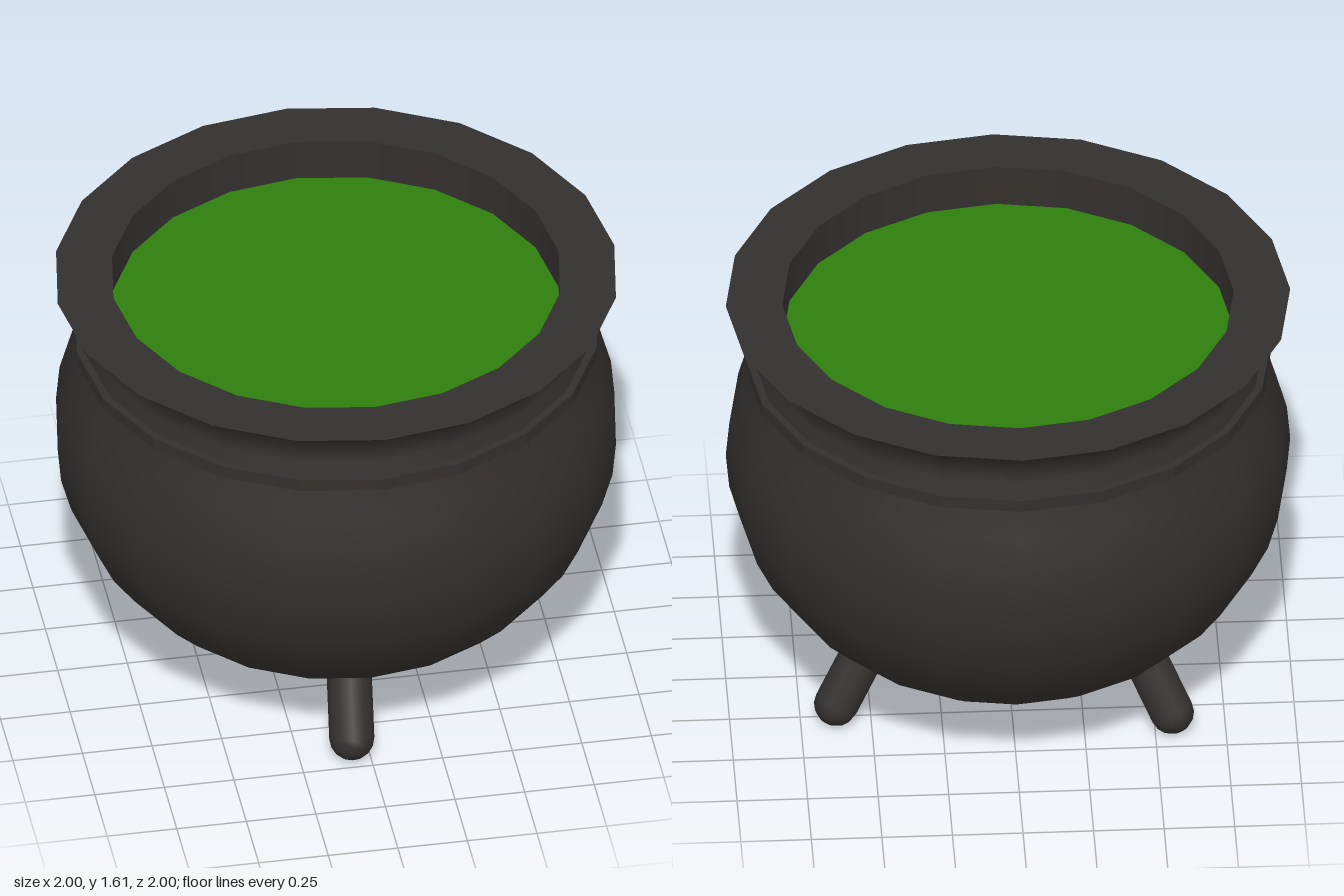
import * as THREE from 'three';

const SIDES = 20;
const iron = new THREE.MeshStandardMaterial({ color: 0x33302e });
const ironFlat = new THREE.MeshStandardMaterial({ color: 0x33302e, flatShading: true });
const green = new THREE.MeshStandardMaterial({ color: 0x2f7f0c });

function add(parent, name, geometry, material) {
  const mesh = new THREE.Mesh(geometry, material);
  mesh.name = name;
  parent.add(mesh);
  return mesh;
}

function lathe(points) {
  return new THREE.LatheGeometry(points.map(([r, y]) => new THREE.Vector2(r, y)), SIDES);
}

export function createModel() {
  const group = new THREE.Group();
  group.name = 'cauldron';

  // Round belly in 9 degree steps, running up into the neck and flared lip
  const profile = [];
  for (let i = -10; i <= 2; i++) {
    const a = (i * 9 * Math.PI) / 180;
    profile.push([i === -10 ? 0 : Math.cos(a), 0.97 + 0.87 * Math.sin(a)]);
  }
  profile.push([0.89, 1.445], [0.89, 1.525], [1, 1.615]);
  add(group, 'bowl', lathe(profile), iron);

  // Flat rim and the wall inside the mouth
  add(group, 'rim', lathe([[1, 1.615], [0.8, 1.615]]), ironFlat);
  add(group, 'innerWall', lathe([[0.8, 1.615], [0.8, 1.44]]), iron);

  // Raised band below the neck
  add(group, 'band', lathe([[0.88, 1.345], [0.932, 1.345], [0.932, 1.392], [0.88, 1.392]]), ironFlat);

  // Liquid surface
  const liquid = add(group, 'liquid', new THREE.CircleGeometry(0.8, SIDES), green);
  liquid.rotation.x = -Math.PI / 2;
  liquid.position.y = 1.455;

  // Three splayed, round-ended legs
  const radius = 0.08, length = 0.34, tilt = Math.PI / 6;
  for (let i = 0; i < 3; i++) {
    const pivot = new THREE.Group();
    pivot.name = 'leg' + (i + 1);
    pivot.rotation.y = ((i * 120 - 5.4) * Math.PI) / 180;
    const leg = add(pivot, 'legPost', new THREE.CapsuleGeometry(radius, length, 4, 12), iron);
    leg.rotation.x = -tilt;
    leg.position.set(
      0,
      radius + (length / 2) * Math.cos(tilt),
      0.685 - (length / 2) * Math.sin(tilt)
    );
    group.add(pivot);
  }

  return group;
}
